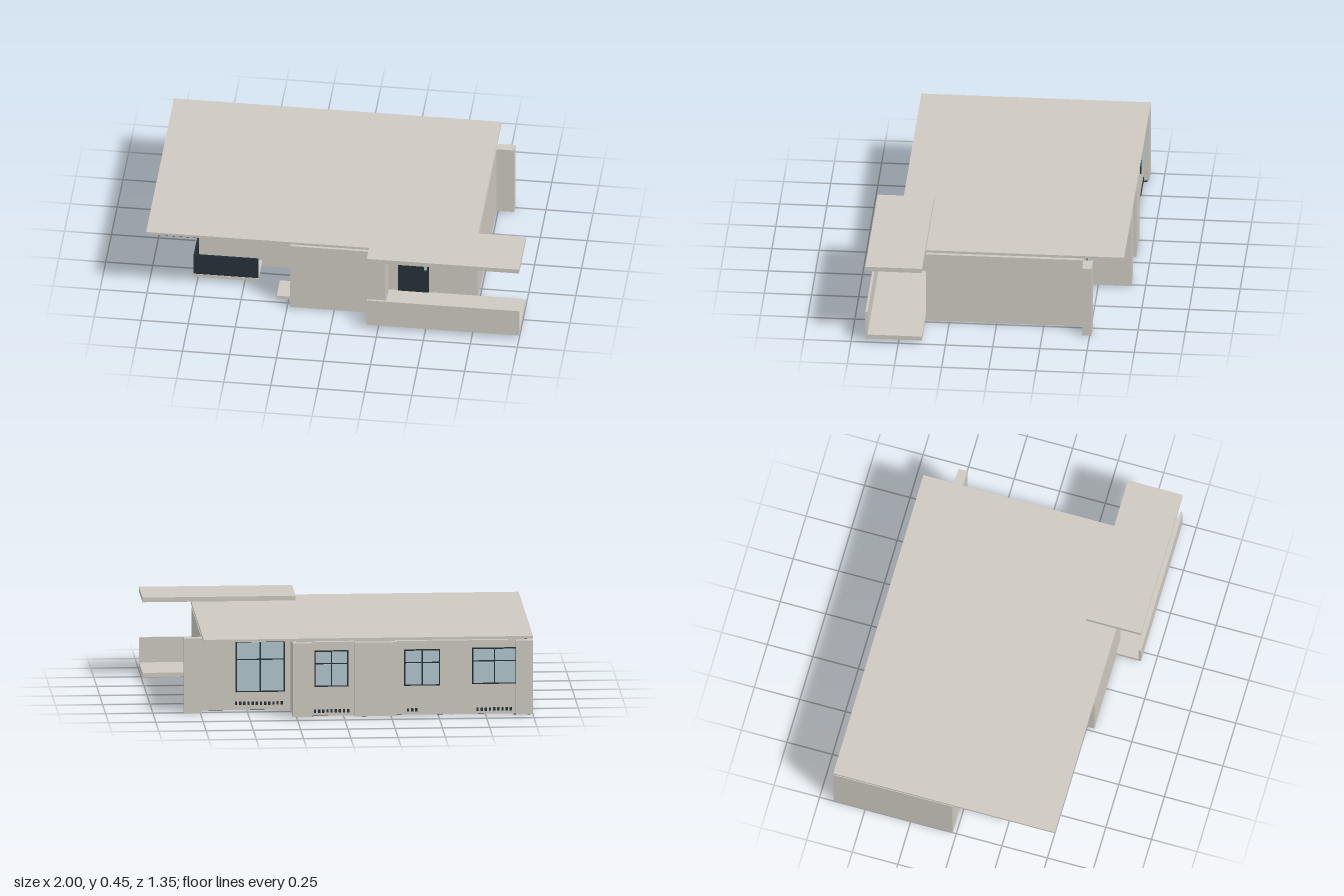
import * as THREE from 'three';

export function createModel() {
  const model = new THREE.Group();
  model.name = 'house';
  const mat = (name, color) => {
    const m = new THREE.MeshStandardMaterial({ color });
    m.name = name;
    return m;
  };
  const render = mat('warm grey render', 0xcdc9c0);
  const dark = mat('dark slate', 0x25303a);
  const glass = mat('pale blue glass', 0xb0c6ce);
  const brown = mat('brown floor', 0x80563c);

  const add = (name, geometry, material, parent = model) => {
    const mesh = new THREE.Mesh(geometry, material);
    mesh.name = name;
    parent.add(mesh);
    return mesh;
  };
  // Box given by its limits on each axis
  const box = (name, material, x0, x1, y0, y1, z0, z1, parent) => {
    const mesh = add(name, new THREE.BoxGeometry(x1 - x0, y1 - y0, z1 - z0), material, parent);
    mesh.position.set((x0 + x1) / 2, (y0 + y1) / 2, (z0 + z1) / 2);
    return mesh;
  };

  // Stepped footprint of the house as x, z corners
  const outline = [
    [-1, -0.02], [-0.78, -0.02], [-0.78, 0.19], [-0.235, 0.19], [-0.235, 0.54],
    [0.27, 0.54], [0.27, 0.375], [0.742, 0.375], [0.742, -0.46], [0.27, -0.46],
    [0.27, -0.675], [0.17, -0.675], [0.17, -0.645], [-0.055, -0.645],
    [-0.055, -0.675], [-0.28, -0.675], [-0.28, -0.645], [-0.91, -0.645],
    [-0.91, -0.675], [-1, -0.675],
  ];
  const slab = (name, material, y0, y1, scale) => {
    const cx = -0.13, cz = -0.1;
    const shape = new THREE.Shape(outline.map(([x, z]) =>
      new THREE.Vector2(cx + (x - cx) * scale, -(cz + (z - cz) * scale))));
    const geo = new THREE.ExtrudeGeometry(shape, { depth: y1 - y0, bevelEnabled: false });
    geo.rotateX(-Math.PI / 2);
    add(name, geo, material).position.y = y0;
  };
  slab('walls', render, 0.004, 0.4, 1);
  slab('floor', dark, 0.002, 0.004, 0.985);
  slab('roofBearing', render, 0.4, 0.41, 0.95);
  box('sideFin', render, 0.742, 0.835, 0, 0.4, -0.51, -0.46);

  // Underside: brown room and feet of the inner walls
  box('brownRoomFloor', brown, -0.19, 0.21, 0.001, 0.003, -0.635, -0.25);
  [
    [-0.58, -0.56, -0.63, -0.24], [-0.58, -0.33, -0.25, -0.23], [-0.53, -0.19, -0.09, -0.07],
    [-0.21, -0.19, -0.63, -0.07], [-0.12, -0.08, 0.07, 0.32], [-0.12, 0.02, 0.05, 0.08],
    [0.44, 0.48, 0.08, 0.36], [0.44, 0.58, 0.05, 0.09], [-0.42, -0.39, 0.0, 0.18],
  ].forEach(([x0, x1, z0, z1]) => box('innerWallFoot', render, x0, x1, 0, 0.003, z0, z1));

  // Flat roof with dark gaps below its edge
  box('roof', render, -1, 0.742, 0.411, 0.425, -0.675, 0.54);
  box('roofGapLeft', dark, 0.69, 0.708, 0.4, 0.411, -0.43, 0.03);
  box('roofGapRight', dark, -0.97, -0.955, 0.4, 0.411, -0.63, -0.04);
  box('roofGapFront', dark, -0.95, -0.74, 0.4, 0.411, -0.045, -0.03);
  [-0.435, -0.03, 0.25, 0.515].forEach((x) =>
    box('roofGapFront', dark, x - 0.02, x + 0.02, 0.4, 0.411, 0.16, x > -0.2 && x < 0.26 ? 0.52 : x > 0.3 ? 0.36 : 0.185));

  // Porch: slab, front parapet and raised canopy
  box('porchSlab', render, 0.19, 1, 0.022, 0.045, 0.375, 0.675);
  box('porchParapet', render, 0.19, 1, 0.022, 0.18, 0.663, 0.675);
  box('canopy', render, 0.19, 1, 0.425, 0.45, 0.375, 0.675);

  // Balcony and ledge in the front recess
  box('balconySlab', render, -0.77, -0.425, 0.024, 0.042, 0.19, 0.357);
  box('balconyRailFront', dark, -0.77, -0.425, 0.042, 0.165, 0.347, 0.355);
  box('balconyRailSide', dark, -0.77, -0.762, 0.042, 0.165, 0.19, 0.347);
  box('ledge', render, -0.31, -0.235, 0.024, 0.042, 0.36, 0.5);

  // Window on a wall at z; dir is +1 for front, -1 for back
  const windowUnit = (name, x0, x1, y0, y1, z, dir, cols, rows) => {
    const unit = new THREE.Group();
    unit.name = name;
    model.add(unit);
    const plate = (part, material, a, b, c, d, depth) =>
      box(part, material, a, b, c, d, Math.min(z, z + dir * depth), Math.max(z, z + dir * depth), unit);
    plate('frame', dark, x0, x1, y0, y1, 0.005);
    const bar = 0.007, w = (x1 - x0 - bar * (cols + 1)) / cols;
    const split = y0 + (y1 - y0) * 0.64;
    const bands = rows === 2 ? [[y0 + bar, split - bar / 2], [split + bar / 2, y1 - bar]] : [[y0 + bar, y1 - bar]];
    for (let i = 0; i < cols; i++) {
      const a = x0 + bar + i * (w + bar);
      bands.forEach(([c, d]) => plate('pane', glass, a, a + w, c, d, 0.008));
    }
  };
  windowUnit('backWindow', -0.915, -0.68, 0.165, 0.36, -0.645, -1, 2, 2);
  windowUnit('backWindow', -0.51, -0.32, 0.16, 0.355, -0.645, -1, 2, 2);
  windowUnit('backWindow', -0.025, 0.155, 0.16, 0.355, -0.645, -1, 2, 2);
  windowUnit('terraceWindow', 0.3, 0.56, 0.1, 0.375, -0.46, -1, 2, 2);
  windowUnit('frontWindow', -0.622, -0.527, 0.253, 0.327, 0.19, 1, 1, 1);
  windowUnit('frontWindow', -0.412, -0.338, 0.253, 0.327, 0.19, 1, 1, 1);

  // Front door with narrow glazing and a handle plate
  box('door', dark, 0.32, 0.485, 0, 0.327, 0.375, 0.38);
  box('doorGlass', glass, 0.458, 0.474, 0.19, 0.317, 0.375, 0.383);
  box('doorPlate', render, 0.38, 0.392, 0.24, 0.252, 0.375, 0.383);

  // Rows of small vents low on the back wall and in the recess
  const vents = (x0, x1, y, z, dir) => {
    for (let x = x0; x < x1; x += 0.022)
      box('vent', dark, x, x + 0.012, y, y + 0.018, z - (dir < 0 ? 0.003 : 0), z + (dir > 0 ? 0.003 : 0));
  };
  vents(-0.89, -0.7, 0.02, -0.645, -1);
  vents(-0.39, -0.33, 0.02, -0.645, -1);
  vents(-0.03, 0.15, 0.02, -0.645, -1);
  vents(0.31, 0.56, 0.03, -0.46, -1);
  for (let x = -0.305; x < -0.245; x += 0.014)
    box('vent', dark, x, x + 0.006, 0.295, 0.3, 0.19, 0.193);

  return model;
}
